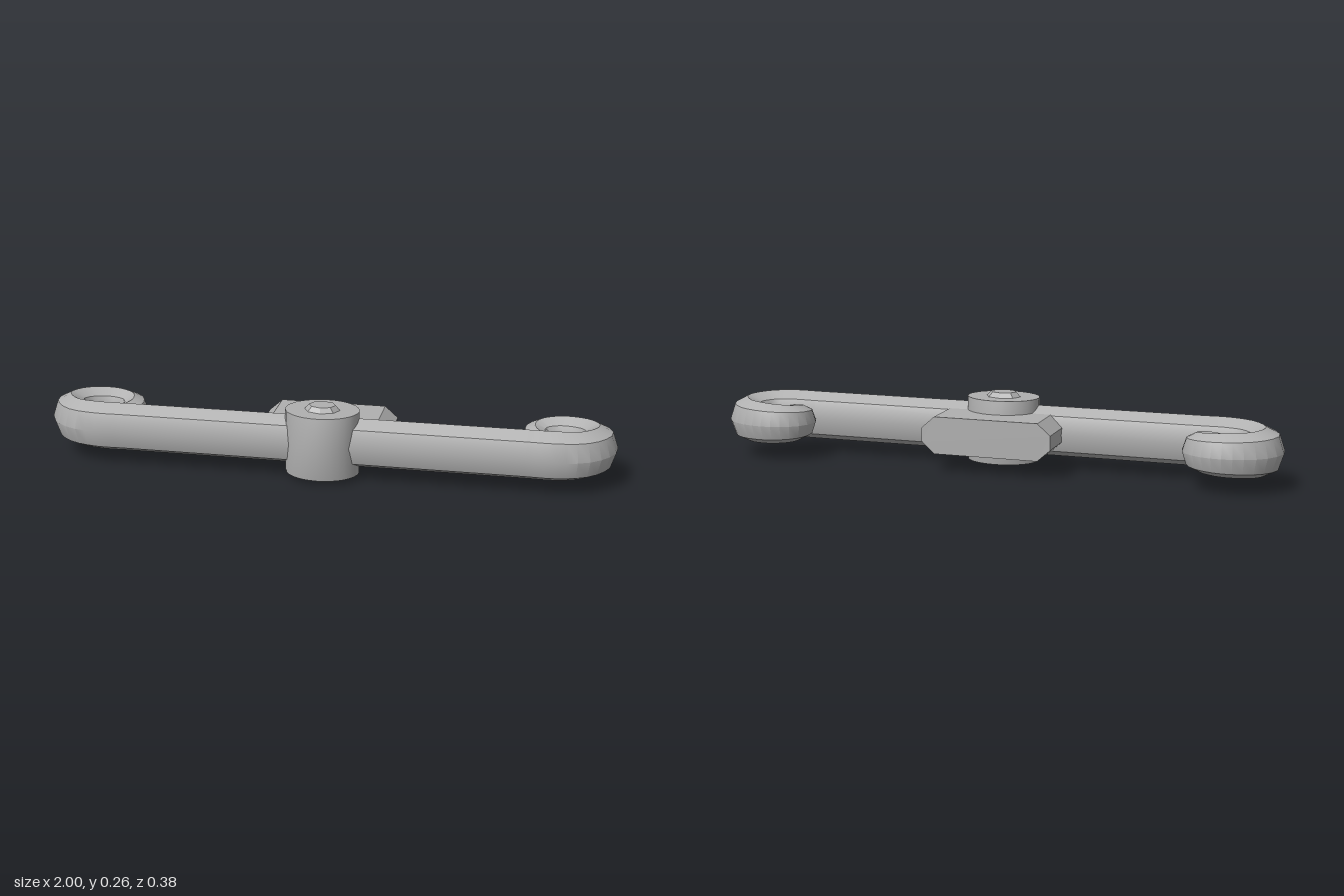
import * as THREE from 'three';
import { toCreasedNormals } from 'three/addons/utils/BufferGeometryUtils.js';

const MID_Y = 0.13;
const AXIS_Z = 0.07;

// Sweep an eight-sided oval along a flat path; each path point stores its size in y.
function sweep(rings, rx, ry, sides) {
  const pos = [], index = [];
  const n = rings.length;
  rings.forEach((p, i) => {
    const a = rings[Math.max(i - 1, 0)], b = rings[Math.min(i + 1, n - 1)];
    const t = new THREE.Vector2(b.x - a.x, b.z - a.z).normalize();
    for (let j = 0; j < sides; j++) {
      const ang = (j / sides) * Math.PI * 2;
      const r = Math.cos(ang) * rx * p.y;
      pos.push(p.x + t.y * r, MID_Y + Math.sin(ang) * ry * p.y, p.z - t.x * r);
    }
  });
  for (let i = 0; i < n - 1; i++) {
    for (let j = 0; j < sides; j++) {
      const k = (j + 1) % sides;
      const a = i * sides + j, b = i * sides + k, c = b + sides, d = a + sides;
      index.push(a, b, c, a, c, d);
    }
  }
  // End caps
  const last = (n - 1) * sides;
  for (let j = 1; j < sides - 1; j++) {
    index.push(0, j + 1, j, last, last + j, last + j + 1);
  }
  const geo = new THREE.BufferGeometry();
  geo.setAttribute('position', new THREE.Float32BufferAttribute(pos, 3));
  geo.setIndex(index);
  return toCreasedNormals(geo, 0.65);
}

export function createModel() {
  const group = new THREE.Group();
  const metal = new THREE.MeshStandardMaterial({ color: 0xb0b0b0 });
  metal.name = 'grey metal';

  const add = (name, geo, x = 0, y = 0, z = 0) => {
    const mesh = new THREE.Mesh(geo, metal);
    mesh.name = name;
    mesh.position.set(x, y, z);
    group.add(mesh);
    return mesh;
  };

  // Bar with a tapering scroll curled backward at each end: [x, size, z]
  const scroll = new THREE.CatmullRomCurve3([
    [0.7, 1, 0.07], [0.8, 1, 0.07], [0.885, 0.97, 0.045], [0.935, 0.93, -0.03],
    [0.9, 0.88, -0.1], [0.81, 0.83, -0.131], [0.735, 0.76, -0.11],
    [0.715, 0.68, -0.06], [0.74, 0.6, -0.015], [0.79, 0.5, -0.003],
    [0.835, 0.4, -0.028], [0.838, 0.3, -0.065], [0.808, 0.2, -0.078],
  ].map(p => new THREE.Vector3(...p)));
  const right = scroll.getSpacedPoints(40);
  const left = right.map(p => new THREE.Vector3(-p.x, p.y, p.z)).reverse();
  add('scrolledBar', sweep([...left, ...right], 0.07, 0.0875, 8));

  // Oval hub, swelling toward front and back at mid height
  const hub = new THREE.CylinderGeometry(1, 1, 0.224, 32, 2);
  const hp = hub.attributes.position;
  for (let i = 0; i < hp.count; i++) {
    const rz = Math.abs(hp.getY(i)) < 0.01 ? 0.12 : 0.102;
    hp.setXYZ(i, hp.getX(i) * 0.128, hp.getY(i), hp.getZ(i) * rz);
  }
  add('hub', toCreasedNormals(hub, 0.65), 0, MID_Y, AXIS_Z);

  // Bevelled eight-sided buttons above and below the hub
  for (const s of [1, -1]) {
    const r = s > 0 ? [0.036, 0.049] : [0.049, 0.036];
    const cap = new THREE.CylinderGeometry(r[0], r[1], 0.018, 8);
    cap.scale(1.28, 1, 1);
    const name = s > 0 ? 'topButton' : 'bottomButton';
    add(name, toCreasedNormals(cap, 0.5), 0, MID_Y + s * 0.12, AXIS_Z);
  }

  // Mounting block behind the hub, with its four end corners cut off
  const w = 0.23, h = 0.065, cx = 0.045, cy = 0.04;
  const outline = new THREE.Shape([
    [-w + cx, -h], [w - cx, -h], [w, -h + cy], [w, h - cy],
    [w - cx, h], [-w + cx, h], [-w, h - cy], [-w, -h + cy],
  ].map(p => new THREE.Vector2(...p)));
  const block = new THREE.ExtrudeGeometry(outline, { depth: 0.185, bevelEnabled: false });
  add('mountingBlock', block, 0, MID_Y, -0.135);

  return group;
}
